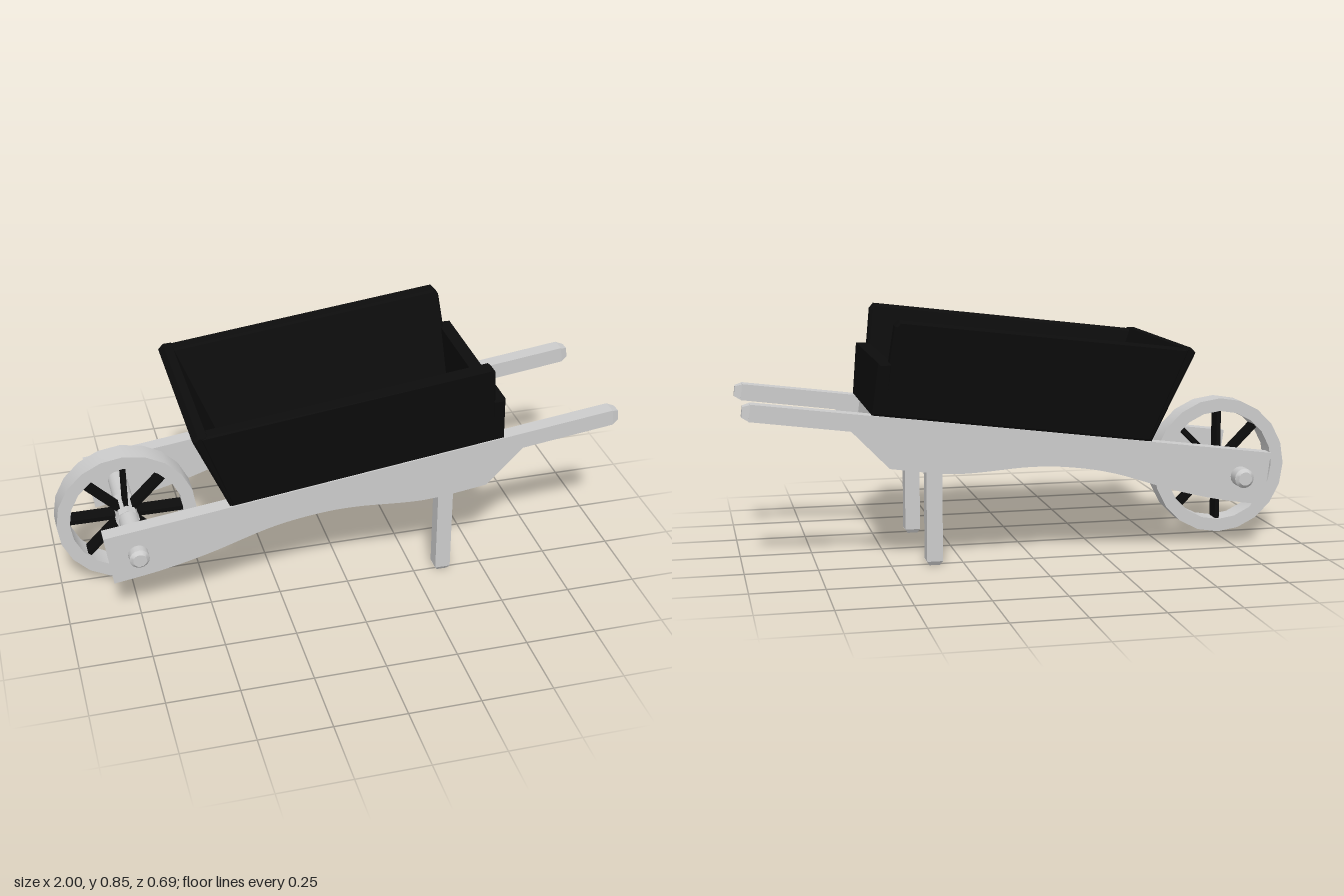
import * as THREE from 'three';
import { toCreasedNormals } from 'three/addons/utils/BufferGeometryUtils.js';

const wood = new THREE.MeshStandardMaterial({ color: 0xcccccc });
const dark = new THREE.MeshStandardMaterial({ color: 0x0c0c0c });

const SLOPE = 0.129;
const railTop = (x) => 0.345 + SLOPE * (x + 0.863);
const MID = -0.003;      // middle of the frame in z
const RAIL_IN = 0.218, RAIL_OUT = 0.274;

function mesh(name, geometry, material = wood) {
  const m = new THREE.Mesh(geometry, material);
  m.name = name;
  return m;
}

// Side profile extruded from z0 to z1, optionally with chamfered edges
function slab(shape, z0, z1, bevel = 0) {
  const g = new THREE.ExtrudeGeometry(shape, {
    depth: z1 - z0 - 2 * bevel, curveSegments: 20, bevelEnabled: bevel > 0,
    bevelSize: bevel, bevelThickness: bevel, bevelOffset: -bevel, bevelSegments: 1,
  });
  return g.translate(0, 0, z0 + bevel);
}

// Tray board: a slab leaning outwards with its height above the rails
function board(name, points, z0, z1) {
  const shape = new THREE.Shape(points.map(([x, y]) => new THREE.Vector2(x, y)));
  const g = slab(shape, z0, z1, 0.008);
  const p = g.attributes.position;
  for (let i = 0; i < p.count; i++) {
    const h = Math.max(0, p.getY(i) - railTop(p.getX(i)));
    p.setZ(i, p.getZ(i) + Math.sign(p.getZ(i)) * 0.215 * h);
  }
  g.computeVertexNormals();
  return mesh(name, g, dark);
}

// Square tapered end, pointing up +y from its base
function taperedTip(width, tip, height) {
  const g = new THREE.CylinderGeometry(tip * Math.SQRT1_2, width * Math.SQRT1_2, height, 4).toNonIndexed();
  g.rotateY(Math.PI / 4).translate(0, height / 2, 0);
  g.computeVertexNormals();
  return g;
}

// Turned part about the z axis from [radius, z] pairs
function turned(points, segments) {
  const g = new THREE.LatheGeometry(points.map(([r, z]) => new THREE.Vector2(r, z)), segments);
  return toCreasedNormals(g.rotateX(Math.PI / 2), 0.6);
}

function createRail(side) {
  const group = new THREE.Group();
  group.name = side > 0 ? 'leftRail' : 'rightRail';
  const zc = side * (RAIL_IN + RAIL_OUT) / 2, w = RAIL_OUT - RAIL_IN;

  // Arched beam running into a slim handle
  const s = new THREE.Shape();
  s.moveTo(-0.863, railTop(-0.863));
  s.lineTo(-0.837, 0.158);
  s.splineThru([[-0.67, 0.185], [-0.5, 0.227], [-0.286, 0.295], [-0.125, 0.324],
    [0.024, 0.331], [0.275, 0.318], [0.505, 0.345]].map(([x, y]) => new THREE.Vector2(x, y)));
  s.lineTo(0.634, 0.478);
  s.lineTo(0.973, 0.523);
  s.lineTo(0.966, railTop(0.966));
  s.closePath();
  group.add(mesh('beam', slab(s, zc - w / 2, zc + w / 2)));

  const tip = mesh('handleEnd', taperedTip(w, 0.036, 0.024));
  tip.position.set(0.9695, 0.552, zc);
  tip.rotation.z = Math.atan(SLOPE) - Math.PI / 2;
  group.add(tip);

  // Leg with a chamfered foot
  const leg = mesh('leg', new THREE.BoxGeometry(0.055, 0.335, w));
  leg.position.set(0.353, 0.1825, zc);
  const foot = mesh('foot', taperedTip(w, 0.036, 0.015));
  foot.rotation.x = Math.PI;
  foot.position.set(0.353, 0.015, zc);
  group.add(leg, foot);
  return group;
}

function createWheel() {
  const wheel = new THREE.Group();
  wheel.name = 'wheel';
  wheel.add(mesh('rim', turned(
    [[0.203, -0.042], [0.25, -0.042], [0.25, 0.042], [0.203, 0.042], [0.203, -0.042]], 20)));
  wheel.add(mesh('hub', turned([[0, -0.064], [0.042, -0.064], [0.042, 0.064], [0, 0.064]], 8)));
  for (let i = 0; i < 8; i++) {
    const spoke = mesh('spoke', new THREE.BoxGeometry(0.18, 0.016, 0.058).translate(0.12, 0, 0), dark);
    spoke.rotation.z = i * Math.PI / 4;
    wheel.add(spoke);
  }
  wheel.position.set(-0.75, 0.262, -0.01);
  return wheel;
}

export function createModel() {
  const model = new THREE.Group();
  model.name = 'wheelbarrow';

  // Frame: two rails with the floor between them
  const frame = new THREE.Group();
  frame.name = 'frame';
  frame.position.z = MID;
  frame.add(createRail(1), createRail(-1));
  const floorShape = new THREE.Shape([[-0.41, -0.003], [-0.403, -0.06], [0.55, -0.06], [0.542, -0.003]]
    .map(([x, d]) => new THREE.Vector2(x, railTop(x) + d)));
  frame.add(mesh('floor', slab(floorShape, -RAIL_IN, RAIL_IN)));
  model.add(frame);

  // Tray of leaning boards
  const tray = new THREE.Group();
  tray.name = 'tray';
  tray.position.z = -0.001;
  const sidePoints = [[-0.415, railTop(-0.415)], [0.53, railTop(0.53)], [0.505, 0.714],
    [0.49, 0.835], [0.474, 0.853], [-0.53, 0.733]];
  tray.add(board('leftSideBoard', sidePoints, RAIL_IN, RAIL_OUT));
  tray.add(board('rightSideBoard', sidePoints, -RAIL_OUT, -RAIL_IN));
  tray.add(board('frontBoard', [[-0.422, railTop(-0.422)], [-0.368, railTop(-0.368)],
    [-0.505, 0.74], [-0.535, 0.738], [-0.553, 0.72]], -0.271, 0.271));
  tray.add(board('tailBoard', [[0.51, railTop(0.51)], [0.562, railTop(0.562)],
    [0.543, 0.71], [0.495, 0.71]], -RAIL_OUT, RAIL_OUT));
  model.add(tray);

  // Axle with chamfered ends
  const axle = mesh('axle', turned([[0, -0.324], [0.024, -0.324], [0.035, -0.312],
    [0.035, 0.312], [0.024, 0.324], [0, 0.324]], 16));
  axle.position.set(-0.748, 0.266, -0.01);
  model.add(axle, createWheel());
  return model;
}
